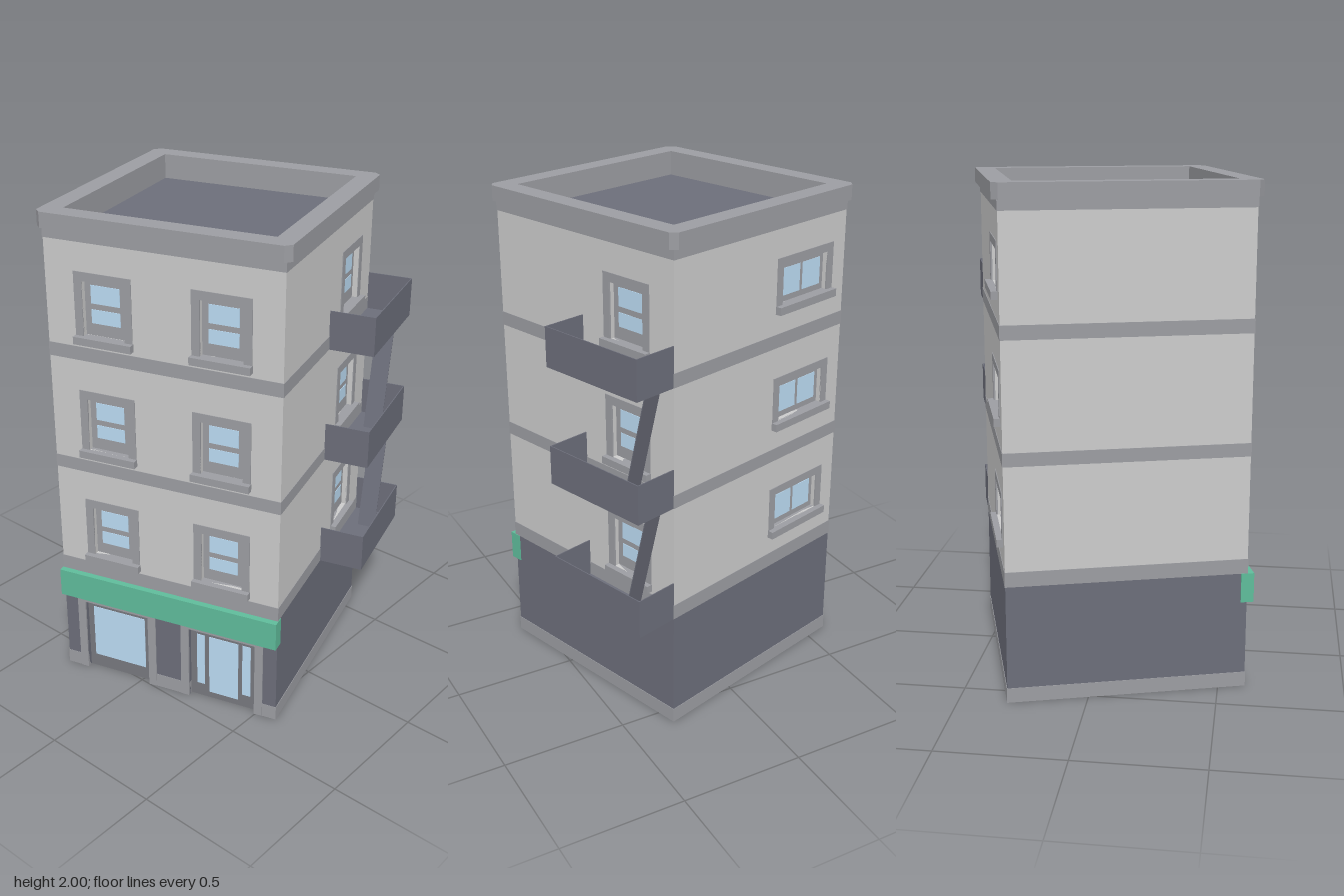
import * as THREE from 'three';

const mat = (color) => new THREE.MeshStandardMaterial({ color });
const WALL = mat(0xcccccc), TRIM = mat(0x9c9da2), DARK = mat(0x6c6e7a), FRAME = mat(0x77787e),
  GLASS = mat(0xbcdcf4), GREEN = mat(0x5fbc9b);

const H = 0.475;      // half width of the outer walls
const SKIN = 0.025;   // depth of the window recesses
const IN = H - SKIN;  // half width of the core
const FLOOR = 0.4775; // storey height

// Box given by its minimum and maximum corners
function box(parent, name, m, [x0, y0, z0], [x1, y1, z1]) {
  const mesh = new THREE.Mesh(new THREE.BoxGeometry(x1 - x0, y1 - y0, z1 - z0), m);
  mesh.position.set((x0 + x1) / 2, (y0 + y1) / 2, (z0 + z1) / 2);
  mesh.name = name;
  parent.add(mesh);
  return mesh;
}

const poly = (pts) => pts.map(([x, y]) => new THREE.Vector2(x, y));
const rect = (x0, y0, x1, y1) => poly([[x0, y0], [x1, y0], [x1, y1], [x0, y1]]);

// Flat panel with holes, extruded towards +z from z
function panel(parent, name, m, outline, holes, z, depth) {
  const shape = new THREE.Shape(outline);
  holes.forEach((h) => shape.holes.push(new THREE.Path(h)));
  const mesh = new THREE.Mesh(new THREE.ExtrudeGeometry(shape, { depth, bevelEnabled: false }), m);
  mesh.position.z = z;
  mesh.name = name;
  parent.add(mesh);
  return mesh;
}

// Horizontal square ring with cut corners, rising from y
function ring(parent, name, m, half, cut, inner, y, height) {
  const a = half, b = half - cut;
  const outline = cut
    ? poly([[-b, -a], [b, -a], [a, -b], [a, b], [b, a], [-b, a], [-a, b], [-a, -b]])
    : rect(-a, -a, a, a);
  const mesh = panel(parent, name, m, outline, [rect(-inner, -inner, inner, inner)], 0, height);
  mesh.rotation.x = -Math.PI / 2;
  mesh.position.y = y;
}

// Window kinds: outer surround, opening and panes relative to the window axis and storey
const tall = {
  w: 0.118, bottom: 0.555, top: 0.833, ow: 0.0855, ob: 0.582, ot: 0.798,
  panes: [[-0.06, 0.63, 0.06, 0.685], [-0.06, 0.708, 0.06, 0.78]],
};
const wide = {
  w: 0.165, bottom: 0.62, top: 0.833, ow: 0.132, ob: 0.648, ot: 0.8,
  panes: [[-0.112, 0.672, -0.008, 0.78], [0.008, 0.672, 0.112, 0.78]],
};

function addWindow(face, k, x, dy) {
  const g = new THREE.Group();
  g.name = 'window';
  g.position.set(x, dy, 0);
  const hole = rect(-k.ow, k.ob, k.ow, k.ot);
  panel(g, 'windowSurround', TRIM, rect(-k.w, k.bottom, k.w, k.top), [hole], H - 0.004, 0.007);
  box(g, 'sash', TRIM, [-k.ow, k.ob, IN - 0.002], [k.ow, k.ot, IN + 0.004]);
  k.panes.forEach(([a, b, c, d]) => box(g, 'windowPane', GLASS, [a, b, IN], [c, d, IN + 0.006]));
  box(g, 'windowSill', TRIM, [-k.w - 0.002, k.bottom - 0.003, IN], [k.w + 0.002, k.ob, H + 0.025]);
  face.add(g);
}

// One upper wall with a column of windows at each x
function addUpperWall(face, half, kind, xs) {
  const holes = [];
  for (const x of xs) for (let i = 0; i < 3; i++) {
    const dy = i * FLOOR;
    holes.push(rect(x - kind.ow, kind.ob + dy, x + kind.ow, kind.ot + dy));
    addWindow(face, kind, x, dy);
  }
  panel(face, 'upperWall', WALL, rect(-half, 0.48, half, 1.94), holes, IN, SKIN);
}

// Shop opening with its surround, frame and panes
function addShopBay(face, x, name, panes) {
  const g = new THREE.Group();
  g.name = name;
  g.position.x = x;
  const arch = poly([[-0.18, 0], [-0.145, 0], [-0.145, 0.333], [0.145, 0.333], [0.145, 0],
    [0.18, 0], [0.18, 0.37], [-0.18, 0.37]]);
  panel(g, 'shopSurround', TRIM, arch, [], H - 0.004, 0.008);
  box(g, 'shopFrame', FRAME, [-0.145, 0, IN - 0.002], [0.145, 0.333, IN + 0.004]);
  panes.forEach(([a, b, c, d]) => box(g, 'shopPane', GLASS, [a, b, IN], [c, d, IN + 0.006]));
  face.add(g);
}

export function createModel() {
  const model = new THREE.Group();
  model.name = 'cornerBuilding';
  const b = new THREE.Group();
  b.name = 'building';
  b.position.set(-0.008, 0, 0.014);
  b.rotation.y = 0.29;
  model.add(b);

  // Core, whose top is the sunken roof
  box(b, 'coreAndRoof', DARK, [-IN, 0.002, -IN], [IN, 1.9, IN]);

  // Four faces: front, right side with balconies, back, plain side
  const faces = ['front', 'balconySide', 'back', 'plainSide'].map((name, i) => {
    const f = new THREE.Group();
    f.name = name;
    f.rotation.y = i * Math.PI / 2;
    b.add(f);
    return f;
  });
  const D = 0.237;
  addUpperWall(faces[0], H, tall, [-D, D]);
  addUpperWall(faces[1], IN, tall, [D]);
  addUpperWall(faces[2], H, wide, [D]);
  addUpperWall(faces[3], IN, tall, []);
  [IN, H, IN].forEach((half, i) =>
    panel(faces[i + 1], 'groundFloorWall', DARK, rect(-half, 0, half, 0.48), [], IN, SKIN));

  // Shop front
  const l = D + 0.145, s = D - 0.145, t = 0.333;
  panel(faces[0], 'shopWall', DARK, poly([[-H, 0], [-l, 0], [-l, t], [-s, t], [-s, 0], [s, 0],
    [s, t], [l, t], [l, 0], [H, 0], [H, 0.48], [-H, 0.48]]), [], IN, SKIN);
  addShopBay(faces[0], -D, 'shopWindow', [[-0.119, 0.06, 0.119, 0.303]]);
  addShopBay(faces[0], D, 'shopDoor', [[-0.117, 0.06, -0.083, 0.303],
    [-0.063, 0.028, 0.065, 0.303], [0.083, 0.06, 0.119, 0.303]]);
  box(faces[0], 'shopFascia', GREEN, [-H - 0.004, 0.36, IN], [H + 0.004, 0.48, H + 0.027]);

  // Plinth, interrupted by the shop openings
  const P = H + 0.002;
  box(b, 'plinth', TRIM, [-P, 0, -P], [P, 0.06, IN - 0.004]);
  [[-P, -l], [-s, s], [l, P]].forEach(([x0, x1]) =>
    box(b, 'frontPlinth', TRIM, [x0, 0, IN - 0.004], [x1, 0.06, P]));

  // Storey bands
  [[0.48, 0.54], [0.957, 1.01], [1.435, 1.49]].forEach(([y0, y1]) =>
    box(b, 'storeyBand', TRIM, [-P, y0, -P], [P, y1, P]));

  // Parapet and cornice
  ring(b, 'parapet', TRIM, P, 0, 0.417, 1.9, 0.04);
  ring(b, 'cornice', TRIM, 0.497, 0.024, 0.417, 1.94, 0.06);

  // Balconies
  const X = 0.656, T = 0.004;
  for (let i = 0; i < 3; i++) {
    const y = 0.48 + i * FLOOR, top = y + 0.158;
    const g = new THREE.Group();
    g.name = 'balcony';
    b.add(g);
    box(g, 'balconyFloor', DARK, [H - 0.005, y, -H], [X, y + T, 0]);
    box(g, 'balconyFrontWall', DARK, [X - T, y, -H], [X, top, 0]);
    box(g, 'balconyEndWall', DARK, [H - 0.005, y, -T], [X, top, 0]);
    box(g, 'balconyEndWall', DARK, [H - 0.005, y, -H], [X, top, -H + T]);
    // Escape ladder up to the next balcony
    if (i < 2) {
      const dz = -0.123;
      const ladder = box(g, 'escapeLadder', DARK,
        [0.53, 0, -0.002], [0.605, Math.hypot(FLOOR, dz), 0.002]);
      ladder.position.y = y + FLOOR / 2;
      ladder.position.z = -0.337 + dz / 2;
      ladder.rotation.x = Math.atan2(dz, FLOOR);
    }
  }
  return model;
}
